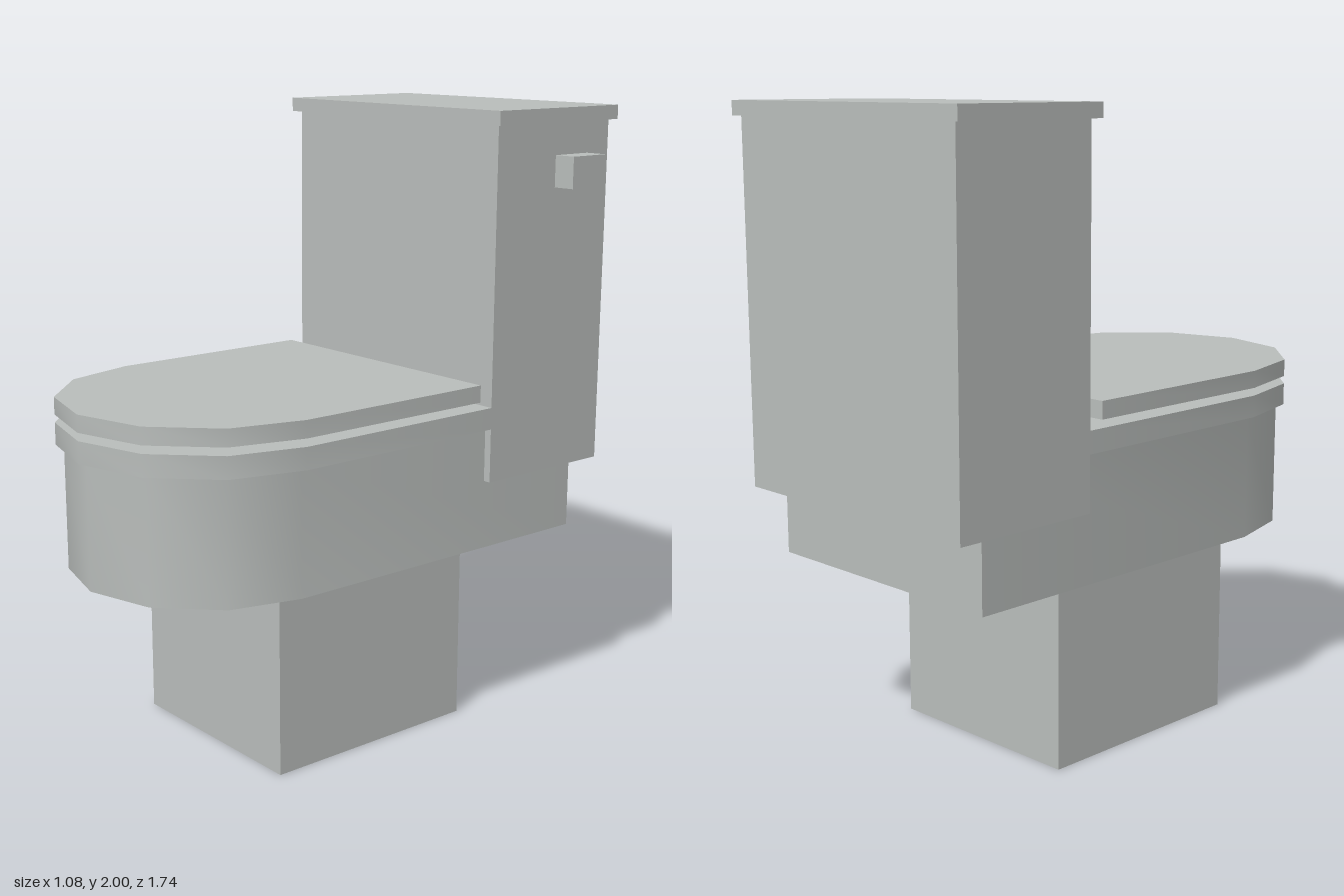
import * as THREE from 'three';
import { toCreasedNormals } from 'three/addons/utils/BufferGeometryUtils.js';

const CX = -0.04; // centre line of the body
const ARC_Z = 0.395; // centre of the rounded front

export function createModel() {
  const model = new THREE.Group();
  const ceramic = new THREE.MeshStandardMaterial({ color: 0xb9bdbb });
  ceramic.name = 'greyCeramic';

  const add = (name, geometry, parent = model) => {
    const mesh = new THREE.Mesh(geometry, ceramic);
    mesh.name = name;
    parent.add(mesh);
    return mesh;
  };

  // Box given by its limits on each axis
  const box = (name, [x0, x1], [y0, y1], [z0, z1], parent) => {
    const mesh = add(name, new THREE.BoxGeometry(x1 - x0, y1 - y0, z1 - z0), parent);
    mesh.position.set((x0 + x1) / 2, (y0 + y1) / 2, (z0 + z1) / 2);
    return mesh;
  };

  // Slab with a straight back and a six-sided rounded front
  const roundedSlab = (name, radius, backZ, y0, y1) => {
    const points = [new THREE.Vector2(-radius, backZ), new THREE.Vector2(radius, backZ)];
    for (let i = 0; i <= 6; i++) {
      const a = (i / 6) * Math.PI;
      points.push(new THREE.Vector2(radius * Math.cos(a), ARC_Z + radius * Math.sin(a)));
    }
    const geometry = new THREE.ExtrudeGeometry(new THREE.Shape(points), { depth: y1 - y0, bevelEnabled: false });
    geometry.rotateX(Math.PI / 2);
    const mesh = add(name, toCreasedNormals(geometry, 0.7));
    mesh.position.set(CX, y1, 0);
  };

  // Base and bowl
  box('pedestal', [CX - 0.348, CX + 0.348], [0, 0.605], [-0.355, 0.4]);
  roundedSlab('bowl', 0.45, -0.755, 0.605, 1.005);

  // Seat, raised disc and closed seat cover
  roundedSlab('seat', 0.475, -0.355, 1.005, 1.075);
  const disc = add('bowlDisc', new THREE.CylinderGeometry(0.3, 0.3, 0.025, 10));
  disc.rotation.y = Math.PI / 2;
  disc.scale.set(1, 1, 1);
  disc.geometry.rotateY(0);
  disc.position.set(CX, 1.0775, ARC_Z);
  disc.rotation.y = Math.PI / 2; // corners point to the sides
  roundedSlab('seatCover', 0.475, -0.305, 1.1, 1.155);

  // Tank and its lid
  box('tank', [CX - 0.475, CX + 0.475], [0.83, 1.955], [-0.855, -0.355]);
  box('tankLid', [CX - 0.5, CX + 0.5], [1.955, 2], [-0.87, -0.335]);

  // Flush handle on the left side
  const handle = new THREE.Group();
  handle.name = 'flushHandle';
  model.add(handle);
  const stem = add('handleStem', new THREE.CylinderGeometry(0.04, 0.04, 0.05, 10), handle);
  stem.rotation.z = Math.PI / 2;
  stem.position.set(0.445, 1.79, -0.657);
  box('handleKnob', [0.46, 0.535], [1.755, 1.855], [-0.73, -0.585], handle);

  return model;
}
